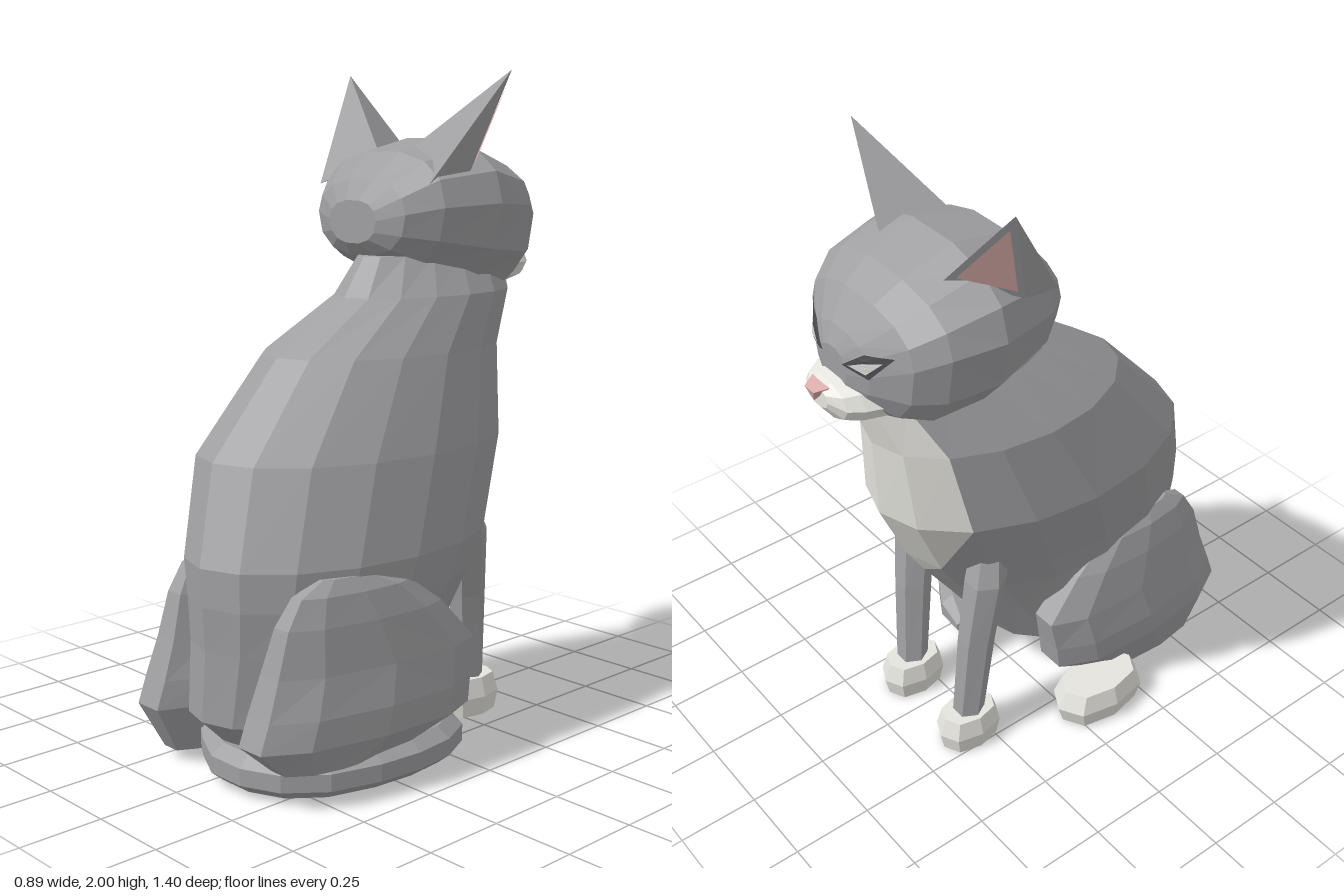
import * as THREE from 'three';

const mat = (name, color, side = THREE.FrontSide) => {
  const m = new THREE.MeshStandardMaterial({ color, flatShading: true, side });
  m.name = name;
  return m;
};

// Ring of n points; flat = horizontal ring, otherwise an upright ring facing z
function ring(n, c, ra, rb, flat = true, power = 1, shear = 0) {
  const bend = v => Math.sign(v) * Math.pow(Math.abs(v), power);
  return Array.from({ length: n }, (_, i) => {
    const t = (i / n) * Math.PI * 2;
    const a = bend(Math.cos(t)) * ra, b = bend(Math.sin(t)) * rb;
    return flat
      ? new THREE.Vector3(c[0] + a - shear * b, c[1], c[2] + b)
      : new THREE.Vector3(c[0] + a, c[1] + b, c[2]);
  });
}

// Closed faceted skin over rings; pick(j, i, upper) chooses the material of each facet
function loft(name, rings, mats, pick = () => 0) {
  const n = rings[0].length, list = [].concat(mats), tris = list.map(() => []);
  const add = (k, a, b, c) => {
    const area = b.clone().sub(a).cross(c.clone().sub(a)).length();
    if (area > 1e-7) tris[k].push([a, b, c]);
  };
  for (let j = 0; j + 1 < rings.length; j++) {
    for (let i = 0; i < n; i++) {
      const a = rings[j][i], b = rings[j][(i + 1) % n];
      const c = rings[j + 1][(i + 1) % n], d = rings[j + 1][i];
      const mirrored = i < n * 0.75; // diagonals meet at the front
      add(pick(j, i, false), a, b, mirrored ? d : c);
      add(pick(j, i, true), mirrored ? b : a, c, d);
    }
  }
  [rings[0], rings[rings.length - 1]].forEach((r, e) => {
    const m = r.reduce((s, p) => s.add(p), new THREE.Vector3()).divideScalar(n);
    r.forEach((p, i) => {
      const q = r[(i + 1) % n];
      e ? add(0, m, p, q) : add(0, m, q, p);
    });
  });
  // turn the skin outwards whatever the ring order
  const vol = tris.flat().reduce((s, [a, b, c]) => s + a.dot(b.clone().cross(c)), 0);
  const pts = [], geo = new THREE.BufferGeometry();
  tris.forEach((set, k) => {
    geo.addGroup(pts.length, set.length * 3, k);
    set.forEach(([a, b, c]) => (vol > 0 ? pts.push(a, b, c) : pts.push(a, c, b)));
  });
  geo.setFromPoints(pts);
  geo.computeVertexNormals();
  const mesh = new THREE.Mesh(geo, list.length > 1 ? list : list[0]);
  mesh.name = name;
  return mesh;
}

// Four-cornered patch laid onto the face of a mesh, just proud of it
function facePatch(name, corners, target, lift, material) {
  const geo = new THREE.PlaneGeometry(1, 1, 6, 3), pos = geo.attributes.position;
  const [a, b, c, d] = corners.map(([x, y]) => new THREE.Vector3(x, y, -2));
  const caster = new THREE.Raycaster();
  for (let i = 0; i < pos.count; i++) {
    const u = pos.getX(i) + 0.5, v = pos.getY(i) + 0.5;
    const p = a.clone().lerp(b, u).lerp(d.clone().lerp(c, u), v);
    caster.set(p, new THREE.Vector3(0, 0, 1));
    p.z = (caster.intersectObject(target)[0]?.point.z ?? -0.55) - lift;
    pos.setXYZ(i, p.x, p.y, p.z);
  }
  geo.computeVertexNormals();
  const mesh = new THREE.Mesh(geo, material);
  mesh.name = name;
  return mesh;
}

export function createModel() {
  const cat = new THREE.Group();
  cat.name = 'sittingCat';
  const fur = mat('greyFur', 0x9f9fa2);
  const white = mat('whiteFur', 0xe5e4de);
  const pink = mat('pinkSkin', 0xd9adaa, THREE.DoubleSide);
  const dark = mat('darkEyeRim', 0x4a4a4e, THREE.DoubleSide);
  const pale = mat('paleEye', 0xd0d2cc, THREE.DoubleSide);
  const V = (x, y, z) => new THREE.Vector3(x, y, z);

  // Body: y, back z, front z, right x, left x; pale chest narrows to a point
  const body = [
    [0.1, 0.58, 0.08, -0.15, 0.2], [0.19, 0.67, -0.07, -0.24, 0.28],
    [0.4, 0.67, -0.21, -0.25, 0.33], [0.53, 0.68, -0.3, -0.26, 0.35],
    [0.64, 0.68, -0.37, -0.29, 0.36], [0.91, 0.58, -0.5, -0.37, 0.31],
    [1.18, 0.33, -0.52, -0.32, 0.23], [1.34, 0.09, -0.57, -0.215, 0.18],
    [1.455, 0, -0.57, -0.16, 0.1],
  ].map(([y, b, f, l, r]) => ring(16, [(l + r) / 2, y, (b + f) / 2], (r - l) / 2, (b - f) / 2));
  cat.add(loft('body', body, [fur, white], (j, i, upper) => {
    const inner = i === 11 || i === 12, outer = i === 10 || i === 13;
    if (j > 4) return inner || outer ? 1 : 0;
    if (j === 4) return inner || (outer && upper) ? 1 : 0;
    return j === 3 && inner && upper ? 1 : 0;
  }));

  // Haunches: y, centre z, half width, half length
  const haunch = [
    [0.1, 0.42, 0.08, 0.2], [0.18, 0.34, 0.125, 0.37], [0.26, 0.32, 0.125, 0.36],
    [0.37, 0.29, 0.105, 0.35], [0.5, 0.33, 0.08, 0.27], [0.58, 0.36, 0.055, 0.19],
    [0.62, 0.38, 0.025, 0.09],
  ];
  for (const [name, x, shear, low] of [['leftHaunch', 0.305, 0.13, 0.1], ['rightHaunch', -0.22, -0.04, 0.03]]) {
    cat.add(loft(name, haunch.map(([y, z, w, l], j) =>
      ring(10, [x, j ? y : low, z], w, l, true, 0.85, shear)), fur));
  }

  // Paws
  const paw = (name, x, z, w, l) => cat.add(loft(name,
    [[0, 0.88], [0.06, 1], [0.12, 0.82]].map(([y, s]) =>
      ring(8, [x, y, z], w * s, l * s, true, 0.85)), white));
  paw('rightHindPaw', -0.335, 0.105, 0.1, 0.165);
  paw('leftHindPaw', 0.23, 0.1, 0.09, 0.15);
  paw('rightFrontPaw', -0.19, -0.315, 0.078, 0.11);
  paw('leftFrontPaw', 0.115, -0.315, 0.078, 0.11);

  // Front legs: foot x, shoulder x
  for (const [name, x0, x1] of [['rightFrontLeg', -0.19, -0.185], ['leftFrontLeg', 0.115, 0.18]]) {
    cat.add(loft(name, [
      ring(6, [x0, 0.1, -0.315], 0.048, 0.05),
      ring(6, [(x0 + x1) / 2, 0.4, -0.275], 0.055, 0.06),
      ring(6, [x1, 0.62, -0.235], 0.065, 0.065),
      ring(6, [x1 * 0.85, 0.75, -0.2], 0.05, 0.05),
    ], fur));
  }

  // Tail curled round the left side
  const path = new THREE.CatmullRomCurve3([
    V(-0.13, 0.08, 0.5), V(0.06, 0.062, 0.6), V(0.28, 0.065, 0.53), V(0.385, 0.075, 0.27),
    V(0.345, 0.075, 0.03), V(0.16, 0.06, -0.07)]);
  const tail = [];
  for (let j = 0; j <= 11; j++) {
    const u = j / 11, p = path.getPoint(u), t = path.getTangent(u);
    const side = V(t.z, 0, -t.x).normalize(), r = j === 11 ? 0.025 : 0.058;
    tail.push(Array.from({ length: 7 }, (_, i) => {
      const a = (i / 7) * Math.PI * 2;
      return p.clone().addScaledVector(side, Math.cos(a) * r).add(V(0, Math.sin(a) * r, 0));
    }));
  }
  cat.add(loft('tail', tail, fur));

  // Head: z, centre x, top y, widest y, bottom y, half width
  const headRings = [
    [-0.005, -0.085, 1.62, 1.56, 1.49, 0.1], [-0.04, -0.085, 1.68, 1.58, 1.45, 0.19],
    [-0.13, -0.085, 1.765, 1.6, 1.4, 0.265], [-0.32, -0.085, 1.805, 1.61, 1.33, 0.318],
    [-0.47, -0.08, 1.745, 1.6, 1.31, 0.29], [-0.55, -0.078, 1.69, 1.57, 1.345, 0.235],
    [-0.61, -0.07, 1.61, 1.52, 1.4, 0.13], [-0.635, -0.065, 1.56, 1.5, 1.43, 0.06],
  ].map(([z, x, top, mid, low, w]) => ring(14, [x, 0, z], w, 1, false, 0.85).map(p =>
    p.setY(mid + p.y * (p.y > 0 ? top - mid : mid - low))));
  const head = loft('head', headRings, fur);
  cat.add(head);

  // Muzzle and nose
  const muzzle = [
    [-0.53, 1.415, 0.165, 0.075], [-0.62, 1.412, 0.128, 0.07],
    [-0.66, 1.412, 0.1, 0.058], [-0.688, 1.425, 0.05, 0.032],
  ].map(([z, y, w, h]) => ring(10, [-0.062, y, z], w, h, false));
  cat.add(loft('muzzle', muzzle, white));
  cat.add(loft('nose', [[-0.672, 0.042, 1.462], [-0.71, 0.022, 1.452]].map(([z, w, y]) =>
    [V(-0.06 - w, y, z), V(-0.06 + w, y, z), V(-0.06, y - 0.04, z + 0.012)]), pink));

  // Eyes and ears on both sides
  for (const s of [-1, 1]) {
    const side = s < 0 ? 'right' : 'left';
    const eye = list => list.map(([dx, y]) => [-0.07 + s * dx, y]);
    cat.add(facePatch(side + 'EyeRim',
      eye([[0.045, 1.53], [0.13, 1.515], [0.195, 1.595], [0.11, 1.58]]), head, 0.004, dark));
    cat.add(facePatch(side + 'Eye',
      eye([[0.07, 1.538], [0.125, 1.53], [0.17, 1.577], [0.115, 1.56]]), head, 0.009, pale));

    const ear = (dx, y, z) => V(-0.1 + s * dx, y, z);
    const F = ear(0.14, 1.75, -0.4), O = ear(0.272, 1.7, -0.24), T = ear(0.349, 2, -0.335);
    const base = [F, ear(0.05, 1.75, -0.18), ear(0.235, 1.66, -0.1), O];
    cat.add(loft(side + 'Ear', [base, base.map(() => T)], fur));

    // Inner ear plate
    const n = O.clone().sub(F).cross(T.clone().sub(F)).normalize();
    if (n.z > 0) n.negate();
    const mid = F.clone().add(O).add(T).divideScalar(3);
    const geo = new THREE.BufferGeometry().setFromPoints([F, O, T].map(p =>
      p.clone().lerp(mid, 0.25).addScaledVector(n, 0.004)));
    geo.computeVertexNormals();
    const inner = new THREE.Mesh(geo, pink);
    inner.name = side + 'InnerEar';
    cat.add(inner);
  }
  return cat;
}
